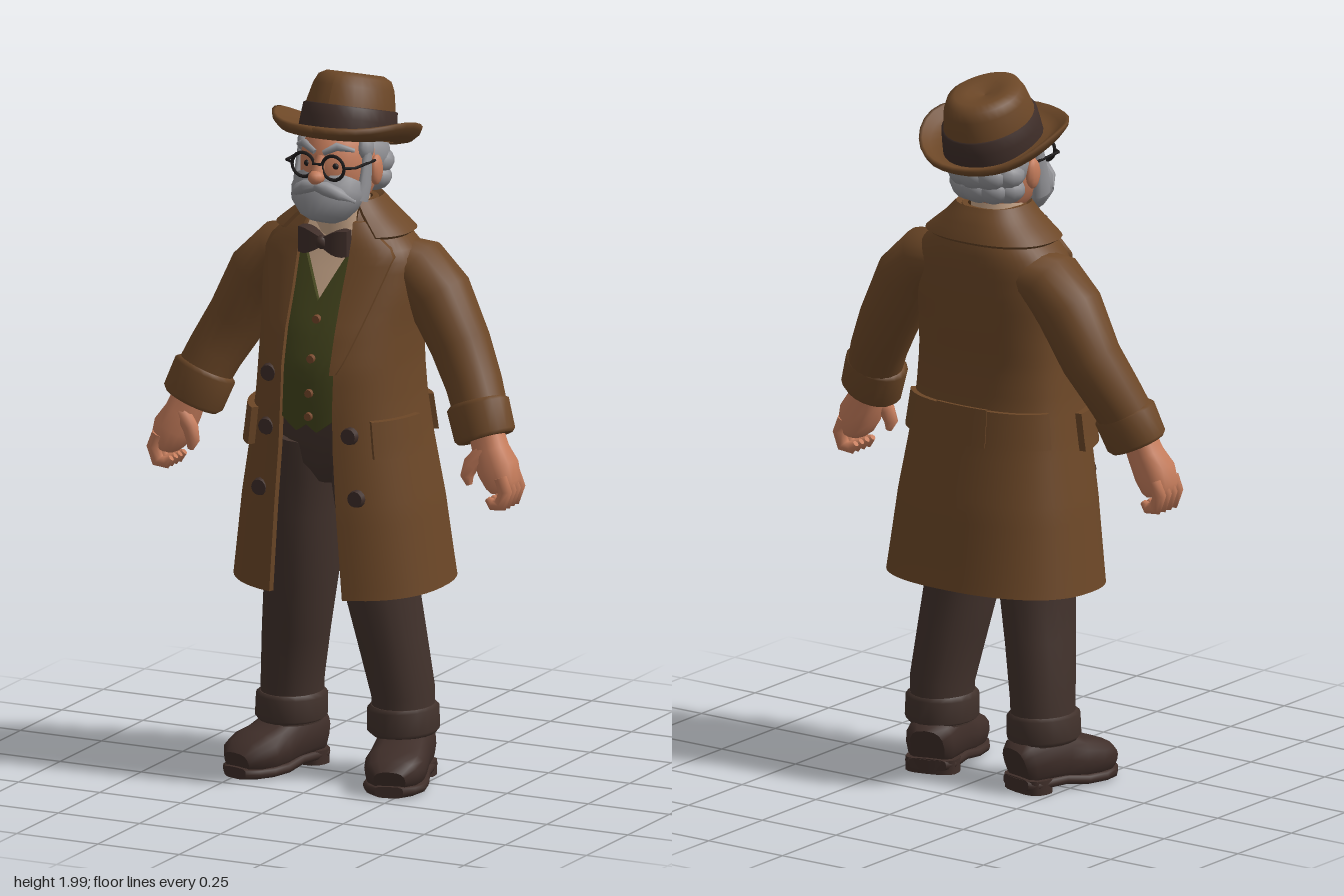
import * as THREE from 'three';

const mat = (name, color) => Object.assign(new THREE.MeshStandardMaterial({ color }), { name });
const M = {
  coat: mat('coat brown', 0x6c4727), trousers: mat('trouser brown', 0x42322c), leather: mat('dark leather', 0x3f2e29),
  vest: mat('vest green', 0x42431c), shirt: mat('shirt cream', 0xc9a78a), skin: mat('skin', 0xc67d5c),
  hair: mat('grey hair', 0x929296), black: mat('frame black', 0x1d1a1a), button: mat('button brown', 0x75472a),
};

// A segmented box bent by a rule f(u, v, w), with u, v, w in 0..1
function warpBox(nx, ny, f) {
  const g = new THREE.BoxGeometry(1, 1, 1, nx, ny, 1), p = g.attributes.position;
  for (let i = 0; i < p.count; i++) p.setXYZ(i, ...f(p.getX(i) + 0.5, p.getY(i) + 0.5, p.getZ(i) + 0.5));
  g.computeVertexNormals();
  return g;
}

// Rounded rings [x, y, z, a, b] skinned along their path; b lies along ref
function loft(rings, n = 16, ref = [0, 0, 1], power = 1) {
  const V = (r) => new THREE.Vector3(r[0], r[1], r[2]);
  const pos = [], idx = [], R = new THREE.Vector3(...ref), last = rings.length - 1;
  const pw = (t) => Math.sign(t) * Math.abs(t) ** power;
  const addRing = (i) => {
    const c = V(rings[i]);
    const T = V(rings[Math.min(i + 1, last)]).sub(V(rings[Math.max(i - 1, 0)])).normalize();
    const B = R.clone().addScaledVector(T, -R.dot(T)).normalize(), A = T.clone().cross(B);
    for (let j = 0; j < n; j++) {
      const t = (j / n) * Math.PI * 2;
      const q = c.clone().addScaledVector(A, rings[i][3] * pw(Math.cos(t))).addScaledVector(B, rings[i][4] * pw(Math.sin(t)));
      pos.push(q.x, q.y, q.z);
    }
  };
  rings.forEach((_, i) => addRing(i));
  for (let i = 0; i < last; i++) for (let j = 0; j < n; j++) {
    const a = i * n + j, b = i * n + (j + 1) % n;
    idx.push(a, a + n, b, b, a + n, b + n);
  }
  for (const i of [0, last]) {
    const s = pos.length / 3;
    addRing(i);
    pos.push(...rings[i].slice(0, 3));
    for (let j = 0; j < n; j++) {
      const a = s + j, b = s + (j + 1) % n;
      idx.push(s + n, ...(i ? [b, a] : [a, b]));
    }
  }
  const g = new THREE.BufferGeometry();
  g.setAttribute('position', new THREE.Float32BufferAttribute(pos, 3));
  g.setIndex(idx);
  g.computeVertexNormals();
  return g;
}

function mirrored(geo) {
  const g = geo.clone().scale(-1, 1, 1), ix = g.index.array;
  for (let i = 0; i < ix.length; i += 3) [ix[i], ix[i + 1]] = [ix[i + 1], ix[i]];
  return g;
}
const ball = (x, y, z, rx, ry, rz, n = 16) => new THREE.SphereGeometry(1, n, Math.ceil(n * 0.7)).scale(rx, ry, rz).translate(x, y, z);
const disc = (x, y, z, r, d) => new THREE.CylinderGeometry(r * 0.85, r, d, 12).rotateX(Math.PI / 2).translate(x, y, z);

// Coat outline by height: y, half width, front z, back z, half opening
const COAT = [
  [0.555, 0.31, 0.248, -0.24, 0.112], [0.8, 0.28, 0.25, -0.205, 0.095], [0.98, 0.25, 0.246, -0.168, 0.083],
  [1.1, 0.234, 0.243, -0.148, 0.08], [1.2, 0.227, 0.236, -0.141, 0.08], [1.3, 0.227, 0.207, -0.146, 0.082],
  [1.4, 0.235, 0.165, -0.15, 0.082], [1.5, 0.232, 0.125, -0.147, 0.085], [1.55, 0.18, 0.11, -0.138, 0.085],
  [1.6, 0.118, 0.085, -0.115, 0.075], [1.635, 0.085, 0.07, -0.092, 0.07],
];
const MID = -0.01, EXP = 0.85;
function coatAt(y) {
  let i = 0;
  while (i < COAT.length - 2 && y > COAT[i + 1][0]) i++;
  const a = COAT[i], b = COAT[i + 1], t = THREE.MathUtils.clamp((y - a[0]) / (b[0] - a[0]), 0, 1);
  return a.map((v, k) => v + (b[k] - v) * t);
}
function coatPoint(th, y, off) {
  const [, w, zf, zb] = coatAt(y), s = Math.sin(th), c = Math.cos(th);
  const pw = (t) => Math.sign(t) * Math.abs(t) ** EXP;
  return [(w + off) * pw(s), y, MID + pw(c) * ((c > 0 ? zf - MID : MID - zb) + off)];
}
function coatZ(x, y) {
  const [, w, zf] = coatAt(y), s = Math.min(1, (Math.abs(x) / w) ** (1 / EXP));
  return MID + (zf - MID) * Math.sqrt(1 - s * s) ** EXP;
}
const band = (t0, t1, y0, y1, o0, o1, n) =>
  warpBox(n, 4, (u, v, w) => coatPoint(t0 + (t1 - t0) * u, y0 + (y1 - y0) * v, o0 + (o1 - o0) * w));

export function createModel() {
  const model = new THREE.Group();
  const add = (name, geo, material, parent = model) => {
    const m = new THREE.Mesh(geo, material);
    m.name = name;
    parent.add(m);
  };
  const pair = (name, geo, material) => {
    add(name + 'Left', geo, material);
    add(name + 'Right', mirrored(geo), material);
  };

  // Coat shell, open down the front
  add('coat', warpBox(48, 36, (u, v, w) => {
    const y = 0.555 + 1.08 * v, [, hw, , , open] = coatAt(y);
    const t0 = Math.asin((open / hw) ** (1 / EXP)), th = t0 + (2 * Math.PI - 2 * t0) * u;
    const p = coatPoint(th, y, -0.015 * (1 - w));
    p[1] += 0.025 * (1 - v) ** 6 * (1 - Math.cos(th)) / 2;
    return p;
  }), M.coat);
  add('collar', warpBox(36, 6, (u, v, w) => {
    const p = coatPoint(0.75 + (2 * Math.PI - 1.5) * u, 1.545 + 0.088 * v, 0.014 * w);
    p[1] += 0.01 * w;
    return p;
  }), M.coat);
  pair('lapel', warpBox(6, 18, (u, v, w) => {
    const y = 1.19 + 0.4 * v;
    const inner = coatAt(y)[4] - 0.006;
    const outer = v < 0.8 ? 0.088 + 0.107 * (v / 0.8) ** 0.8 : 0.195 - 0.095 * ((v - 0.8) / 0.2);
    const x = inner + (outer - inner) * u;
    return [x, y, coatZ(x, y) + 0.018 * w - 0.006];
  }), M.coat);
  pair('pocket', band(0.74, 1.42, 0.955, 1.06, 0, 0.019, 8), M.coat);
  add('backBelt', band(1.95, 2 * Math.PI - 1.95, 0.985, 1.085, 0, 0.014, 24), M.coat);
  add('backBeltTab', band(Math.PI - 0.28, Math.PI + 0.28, 0.985, 1.09, 0.01, 0.019, 6), M.coat);
  for (const [x, y] of [[-0.125, 1.17], [-0.127, 1.02], [0.127, 1.02], [-0.148, 0.845], [0.148, 0.845]])
    add('coatButton', disc(x, y, coatZ(x, y) + 0.004, 0.026, 0.016), M.leather);

  // Vest with a V neck, and the shirt behind it
  add('vest', warpBox(16, 12, (u, v, w) => {
    const x = -0.125 + 0.25 * u, ax = Math.abs(x);
    const low = 1.02 + Math.abs(ax - 0.03) * 0.75, top = Math.min(1.54, 1.375 + ax * 2);
    const y = low + (top - low) * v;
    return [x, y, coatZ(x, y) - 0.024 + 0.014 * w];
  }), M.vest);
  for (const y of [1.33, 1.225, 1.13, 1.065]) add('vestButton', disc(0.008, y, coatZ(0, y) - 0.007, 0.013, 0.012), M.button);
  add('shirt', warpBox(10, 8, (u, v, w) => {
    const x = -0.1 + 0.2 * u, y = 1.33 + 0.25 * v;
    return [x, y, coatZ(x, y) - 0.042 + 0.014 * w];
  }), M.shirt);
  add('shirtCollar', loft([[0, 1.5, 0.0, 0.083, 0.083], [0, 1.58, 0.008, 0.079, 0.082], [0, 1.645, 0.012, 0.074, 0.08]]), M.shirt);

  // Bow tie
  pair('bowWing', warpBox(5, 4, (u, v, w) => {
    const h = 0.016 + 0.021 * Math.sin(u * 1.9), d = 0.014 + 0.008 * Math.sin(u * Math.PI);
    return [0.006 + 0.069 * u, 1.537 + (v * 2 - 1) * h, 0.132 - 0.01 * u + (w * 2 - 1) * d];
  }), M.leather);
  add('bowKnot', ball(0, 1.537, 0.138, 0.018, 0.02, 0.02, 10), M.leather);

  // Arms, cuffs and hands
  pair('sleeve', loft([[0.14, 1.462, -0.03, 0.072, 0.09], [0.21, 1.447, -0.033, 0.09, 0.098], [0.272, 1.382, -0.033, 0.093, 0.096],
    [0.342, 1.25, -0.028, 0.085, 0.085], [0.398, 1.15, 0, 0.079, 0.079], [0.435, 1.07, 0.025, 0.077, 0.072]], 20), M.coat);
  pair('sleeveCuff', loft([[0.417, 1.106, 0.018, 0.078, 0.072], [0.42, 1.098, 0.02, 0.091, 0.08], [0.449, 1.02, 0.035, 0.09, 0.076],
    [0.453, 1.01, 0.037, 0.08, 0.068]], 20), M.coat);
  pair('palm', loft([[0.452, 1.04, 0.038, 0.046, 0.042], [0.474, 0.98, 0.046, 0.05, 0.047], [0.499, 0.935, 0.052, 0.056, 0.056],
    [0.516, 0.893, 0.053, 0.046, 0.054], [0.521, 0.876, 0.053, 0.034, 0.045]], 14, [0, 0, 1], 0.8), M.skin);
  for (let i = 0; i < 4; i++) {
    const z = 0.014 + i * 0.0265;
    pair('finger', loft([[0.526, 0.92, z, 0.021, 0.017], [0.542, 0.882, z, 0.021, 0.017], [0.528, 0.844, z, 0.021, 0.017],
      [0.502, 0.842, z, 0.018, 0.015], [0.487, 0.856, z, 0.009, 0.009]], 8), M.skin);
  }
  pair('thumb', loft([[0.465, 0.985, 0.07, 0.024, 0.022], [0.432, 0.945, 0.085, 0.024, 0.02], [0.422, 0.912, 0.09, 0.02, 0.018],
    [0.43, 0.888, 0.09, 0.009, 0.009]], 8), M.skin);

  // Trousers
  pair('trouserLeg', loft([[0.172, 0.13, -0.018, 0.083, 0.096], [0.17, 0.25, -0.018, 0.085, 0.1], [0.148, 0.4, 0.002, 0.092, 0.108],
    [0.122, 0.56, 0.022, 0.1, 0.117], [0.113, 0.75, 0.025, 0.107, 0.128], [0.098, 0.87, 0.025, 0.106, 0.142],
    [0.085, 0.98, 0.03, 0.11, 0.152]], 20), M.trousers);
  add('trouserHips', loft([[0, 0.86, 0.025, 0.06, 0.1], [0, 0.92, 0.03, 0.13, 0.14], [0, 1.0, 0.035, 0.19, 0.155],
    [0, 1.1, 0.035, 0.18, 0.155]], 24), M.trousers);
  pair('trouserCuff', loft([[0.173, 0.135, -0.016, 0.088, 0.102], [0.173, 0.145, -0.016, 0.098, 0.111],
    [0.171, 0.205, -0.016, 0.097, 0.11], [0.171, 0.215, -0.016, 0.086, 0.1]], 20), M.trousers);

  // Shoes, toes turned outward
  const up = [0, 1, 0], place = (g) => g.rotateY(0.27).translate(0.178, 0, -0.015);
  const shoe = [[-0.105, 0.075, 0.05, 0.055], [-0.085, 0.082, 0.07, 0.067], [-0.03, 0.09, 0.077, 0.074], [0.03, 0.084, 0.077, 0.072],
    [0.085, 0.07, 0.082, 0.062], [0.14, 0.064, 0.086, 0.056], [0.185, 0.056, 0.074, 0.046], [0.215, 0.046, 0.045, 0.03]];
  pair('shoe', place(loft(shoe.map(([z, y, a, b]) => [0, y, z, a, b]), 16, up, 0.75)), M.leather);
  pair('sole', place(loft([[-0.105, 0.055], [-0.08, 0.075], [0.02, 0.075], [0.09, 0.086], [0.15, 0.088], [0.195, 0.07], [0.222, 0.04]]
    .map(([z, a]) => [0, z > 0.05 ? 0.017 : 0.027, z, a, 0.016]), 16, up, 0.5)), M.leather);
  pair('heel', place(loft([[0, 0, -0.06, 0.076, 0.046], [0, 0.04, -0.06, 0.076, 0.048]], 16, [0, 0, 1], 0.7)), M.leather);

  // Head and face
  add('head', ball(0, 1.74, 0.03, 0.104, 0.145, 0.128, 24), M.skin);
  add('nose', ball(0, 1.728, 0.172, 0.023, 0.021, 0.027, 12), M.skin);
  add('noseBridge', loft([[0, 1.73, 0.168, 0.02, 0.018], [0, 1.785, 0.148, 0.013, 0.015]], 10), M.skin);
  pair('ear', ball(0.108, 1.728, 0.022, 0.016, 0.043, 0.027, 12), M.skin);
  pair('eye', ball(0.044, 1.757, 0.142, 0.009, 0.009, 0.008, 10), M.black);
  pair('eyebrow', loft([[0.014, 1.795, 0.156, 0.008, 0.007], [0.05, 1.815, 0.148, 0.012, 0.01], [0.086, 1.8, 0.112, 0.006, 0.006]], 8), M.hair);

  // Hair swept back in locks
  add('hair', ball(0, 1.757, -0.03, 0.113, 0.098, 0.108, 20), M.hair);
  for (let i = 0; i < 5; i++) {
    const t = (i - 2) * 0.6, s = Math.sin(t), c = Math.cos(t);
    add('hairLock', ball(s * 0.072, 1.692, -0.02 - c * 0.062, 0.052, 0.04, 0.046, 12), M.hair);
    add('hairLock', ball(s * 0.075, 1.735, -0.025 - c * 0.07, 0.052, 0.042, 0.05, 12), M.hair);
  }
  pair('temple', ball(0.093, 1.795, 0.055, 0.02, 0.035, 0.033, 10), M.hair);

  // Beard and moustache
  add('beard', loft([[0, 1.594, 0.135, 0.035, 0.032], [0, 1.607, 0.13, 0.066, 0.058], [0, 1.64, 0.12, 0.096, 0.076],
    [0, 1.672, 0.104, 0.107, 0.077], [0, 1.7, 0.085, 0.102, 0.075]], 20), M.hair);
  pair('sideburn', loft([[0.09, 1.655, 0.085, 0.02, 0.035], [0.1, 1.7, 0.073, 0.014, 0.03], [0.1, 1.79, 0.06, 0.011, 0.016]], 10), M.hair);
  pair('moustache', loft([[0, 1.703, 0.175, 0.013, 0.014], [0.03, 1.7, 0.176, 0.02, 0.021], [0.06, 1.685, 0.158, 0.018, 0.022],
    [0.095, 1.66, 0.125, 0.006, 0.008]], 10), M.hair);

  // Round glasses
  pair('glassesRim', new THREE.TorusGeometry(0.034, 0.005, 6, 20).translate(0.046, 1.757, 0.162), M.black);
  pair('glassesArm', loft([[0.08, 1.76, 0.162, 0.004, 0.004], [0.106, 1.76, 0.145, 0.004, 0.004], [0.112, 1.758, 0.02, 0.004, 0.004]], 6, up), M.black);
  add('glassesBridge', new THREE.CylinderGeometry(0.004, 0.004, 0.026, 6).rotateZ(Math.PI / 2).translate(0, 1.765, 0.17), M.black);

  // Hat, tipped back, with upturned brim and dented crown
  const hat = new THREE.Group();
  hat.name = 'hat';
  hat.position.set(0, 1.803, 0);
  hat.rotation.x = -0.28;
  model.add(hat);
  const lathe = (pts) => new THREE.LatheGeometry(pts.map((p) => new THREE.Vector2(...p)), 32);
  const brim = lathe([[0.09, 0], [0.15, -0.006], [0.185, 0.0], [0.204, 0.014], [0.209, 0.028], [0.199, 0.033], [0.18, 0.02], [0.15, 0.012], [0.09, 0.014]]);
  const bp = brim.attributes.position;
  for (let i = 0; i < bp.count; i++)
    bp.setY(i, bp.getY(i) + 0.03 * (bp.getX(i) / 0.2) ** 4 - 0.014 * (Math.max(0, bp.getZ(i)) / 0.2) ** 2);
  brim.computeVertexNormals();
  add('hatBrim', brim, M.coat, hat);
  const crown = lathe([[0.128, 0], [0.125, 0.04], [0.12, 0.09], [0.111, 0.14], [0.1, 0.165], [0.078, 0.177], [0.045, 0.171], [0.0001, 0.158]]);
  const cp = crown.attributes.position;
  for (let i = 0; i < cp.count; i++) {
    const y = cp.getY(i), z = cp.getZ(i);
    if (y > 0.08 && z > 0) cp.setX(i, cp.getX(i) * (1 - 1.2 * z * (y - 0.08) / 0.09));
    cp.setZ(i, z * 1.16 - 0.012);
  }
  crown.computeVertexNormals();
  add('hatCrown', crown, M.coat, hat);
  add('hatBand', lathe([[0.128, 0.004], [0.133, 0.008], [0.13, 0.05], [0.127, 0.083], [0.118, 0.086]]).scale(1, 1, 1.15).translate(0, 0, -0.012), M.leather, hat);

  return model;
}
